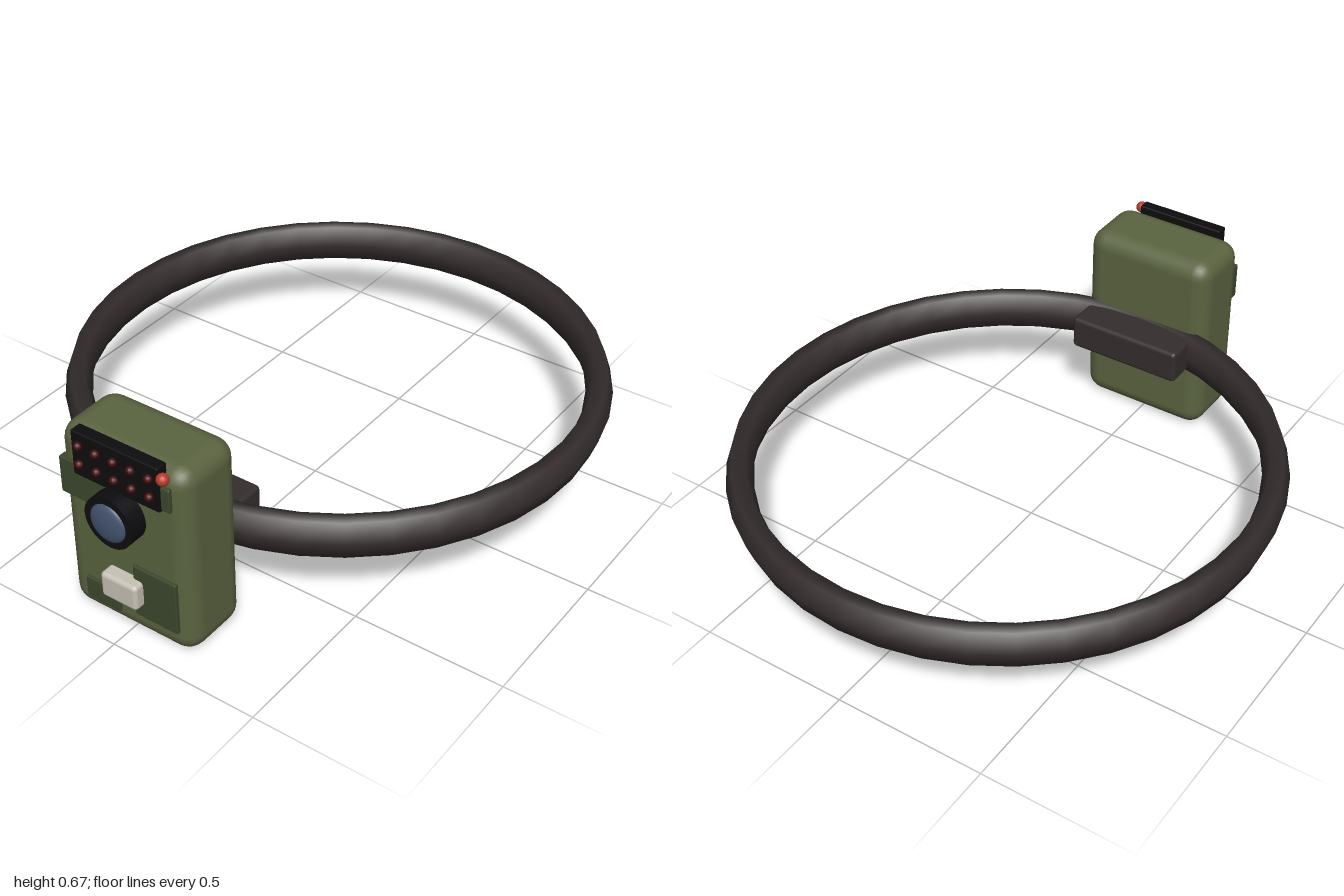
import * as THREE from 'three';
import { RoundedBoxGeometry } from 'three/addons/geometries/RoundedBoxGeometry.js';

const mat = (name, color) => {
  const m = new THREE.MeshStandardMaterial({ color });
  m.name = name;
  return m;
};

export function createModel() {
  const group = new THREE.Group();
  group.name = 'trailCamera';

  const olive = mat('olive green', 0x5a6340);
  const darkGreen = mat('dark green', 0x3d482c);
  const strapBrown = mat('strap brown', 0x352d2d);
  const black = mat('black', 0x0d0d0f);
  const glassBlue = mat('glass blue', 0x43526e);
  const ledRed = mat('dark red', 0x420a0c);
  const red = mat('indicator red', 0xb83a2a);
  const cream = mat('cream', 0xc6c1b5);

  const add = (name, geometry, material, x, y, z) => {
    const mesh = new THREE.Mesh(geometry, material);
    mesh.name = name;
    mesh.position.set(x, y, z);
    group.add(mesh);
    return mesh;
  };

  // Rounded box given by its limits on each axis
  const block = (name, material, [x0, x1], [y0, y1], [z0, z1], radius, segments = 3) =>
    add(name, new RoundedBoxGeometry(x1 - x0, y1 - y0, z1 - z0, segments, radius), material,
      (x0 + x1) / 2, (y0 + y1) / 2, (z0 + z1) / 2);

  // Housing
  block('body', olive, [-0.23, 0.23], [0, 0.652], [0.68, 0.922], 0.06);

  // Camouflage patches set into the front
  const patches = [
    [[-0.217, -0.04], [0.42, 0.545]],
    [[0.03, 0.183], [0.52, 0.6]],
    [[0.03, 0.185], [0.083, 0.265]],
    [[-0.155, -0.03], [0.058, 0.135]],
  ];
  for (const [xs, ys] of patches) block('camoPatch', darkGreen, xs, ys, [0.902, 0.932], 0.005, 1);

  // Strap: hexagonal section, stretched upwards
  const strap = new THREE.TorusGeometry(0.828, 0.043, 6, 40);
  strap.rotateX(Math.PI / 2);
  strap.scale(1, 1.68, 1);
  add('strap', strap, strapBrown, 0, 0.327, -0.13);

  // Mount behind the housing
  block('strapMount', strapBrown, [-0.2, 0.2], [0.27, 0.385], [0.55, 0.69], 0.014, 2);

  // Infrared panel with two rows of lamps
  block('ledPanel', black, [-0.154, 0.154], [0.516, 0.666], [0.9, 0.94], 0.004, 1);
  const lamp = new THREE.SphereGeometry(0.014, 12, 8);
  for (const y of [0.563, 0.625]) {
    for (let i = -2; i <= 2; i++) add('led', lamp, ledRed, i * 0.0625, y, 0.946);
  }

  // Indicator light
  add('indicatorLight', new THREE.SphereGeometry(0.019, 16, 12), red, 0.17, 0.638, 0.938);

  // Lens
  const barrel = new THREE.CylinderGeometry(0.085, 0.085, 0.09, 32);
  barrel.rotateX(Math.PI / 2);
  add('lensBarrel', barrel, black, 0, 0.437, 0.937);
  const glass = new THREE.SphereGeometry(0.063, 32, 16);
  glass.scale(1, 1, 0.3);
  add('lensGlass', glass, glassBlue, 0, 0.437, 0.981);

  // Motion sensor window
  block('motionSensor', cream, [-0.066, 0.066], [0.13, 0.218], [0.9, 0.967], 0.014);

  return group;
}
